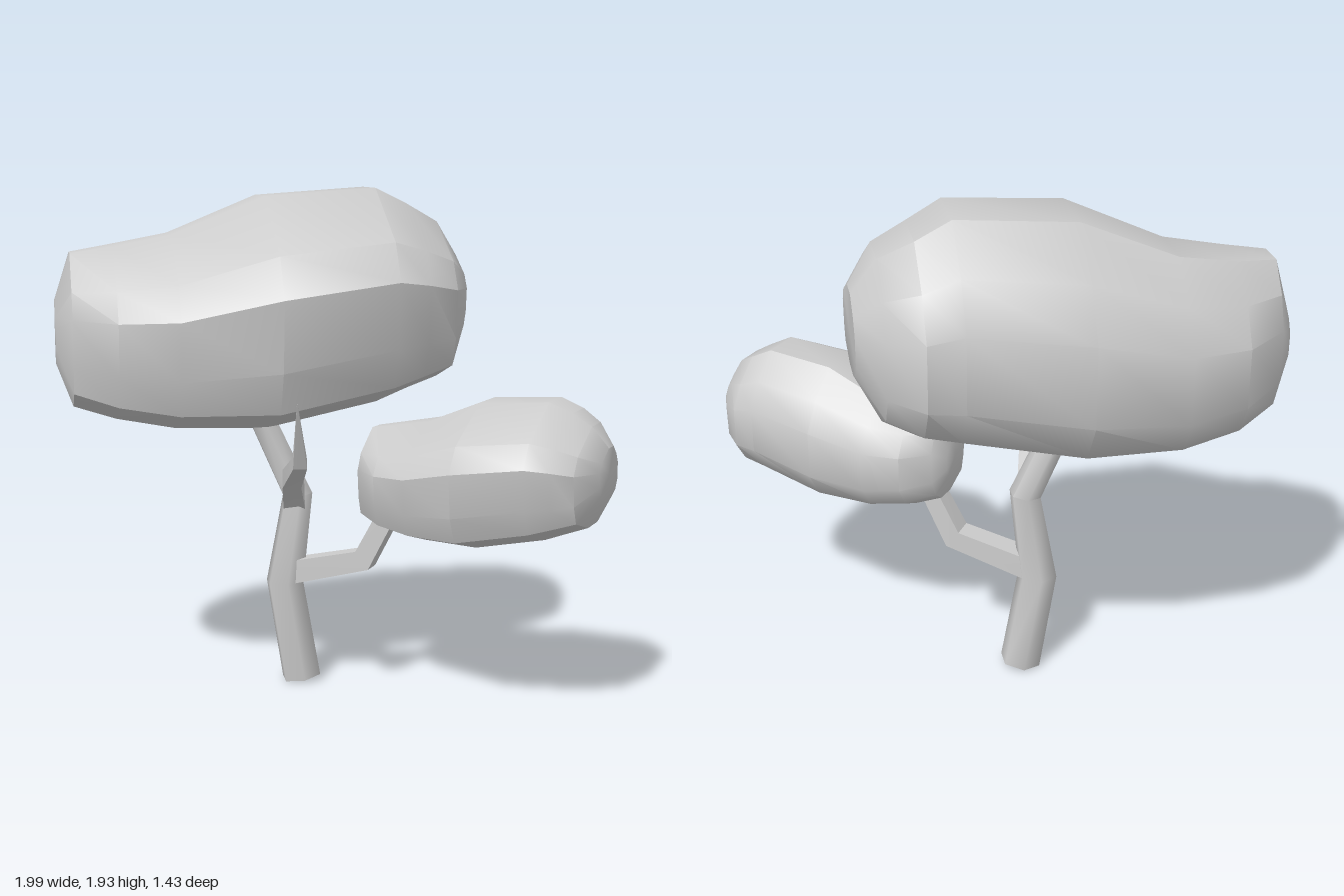
import * as THREE from 'three';
import { toCreasedNormals } from 'three/addons/utils/BufferGeometryUtils.js';

const grey = new THREE.MeshStandardMaterial({ color: 0xcccccc });

// Skin a series of equal-length rings and close both ends.
function loft(rings, crease) {
  const n = rings[0].length, last = rings.length - 1;
  const pos = [], index = [];
  const add = p => pos.push(p.x, p.y, p.z);
  const centre = ring => ring.reduce((s, p) => s.add(p), new THREE.Vector3()).divideScalar(n);
  rings.forEach(ring => ring.forEach(add));
  add(centre(rings[0]));
  add(centre(rings[last]));
  const c0 = n * rings.length, c1 = c0 + 1;
  for (let j = 0; j < n; j++) {
    const k = (j + 1) % n;
    for (let i = 0; i < last; i++) {
      const a = i * n + j, b = i * n + k;
      index.push(a, b, b + n, a, b + n, a + n);
    }
    index.push(c0, k, j, c1, last * n + j, last * n + k);
  }
  const g = new THREE.BufferGeometry();
  g.setAttribute('position', new THREE.Float32BufferAttribute(pos, 3));
  g.setIndex(index);
  return toCreasedNormals(g, crease);
}

// Tapered limb: each node is [x, y, z, radius].
function limb(name, nodes, sides, ref, crease) {
  const pts = nodes.map(n => new THREE.Vector3(n[0], n[1], n[2]));
  const rings = pts.map((p, i) => {
    const dir = (a, b) => pts[b].clone().sub(pts[a]).normalize();
    const t = new THREE.Vector3();
    if (i > 0) t.add(dir(i - 1, i));
    if (i < pts.length - 1) t.add(dir(i, i + 1));
    t.normalize();
    const u = t.clone().cross(ref).normalize(), w = t.clone().cross(u);
    return Array.from({ length: sides }, (_, j) => {
      const a = (j + 0.5) / sides * Math.PI * 2, r = nodes[i][3];
      return p.clone().addScaledVector(u, r * Math.cos(a)).addScaledVector(w, r * Math.sin(a));
    });
  });
  const m = new THREE.Mesh(loft(rings, crease), grey);
  m.name = name;
  return m;
}

// Foliage cross-section: [across -1..1, height 0..1], from the top round the front.
const SECTION = [
  [-0.45, 1], [0.05, 1], [0.8, 0.77], [1, 0.6], [0.94, 0.3], [0.8, 0.12],
  [0.1, 0], [-0.43, 0], [-0.8, 0.1], [-1, 0.28], [-1, 0.62], [-0.8, 0.82],
];
// Stations along the clump: [x, back z, front z, bottom y, top y].
const STATIONS = [
  [-0.99, -0.39, -0.15, 1.26, 1.50],
  [-0.93, -0.48, -0.02, 1.10, 1.68],
  [-0.77, -0.61, 0.11, 1.05, 1.705],
  [-0.55, -0.67, 0.18, 1.01, 1.745],
  [-0.20, -0.72, 0.33, 1.01, 1.89],
  [0.23, -0.68, 0.28, 1.10, 1.92],
  [0.36, -0.68, 0.21, 1.145, 1.86],
  [0.48, -0.58, 0.13, 1.19, 1.79],
  [0.57, -0.46, -0.08, 1.36, 1.66],
];
const PIVOT = new THREE.Vector3(-0.2, 1.01, -0.195);

function foliageGeometry() {
  const rings = STATIONS.map(([x, zb, zf, yb, yt]) => SECTION.map(([u, v]) =>
    new THREE.Vector3(x, yb + v * (yt - yb), (zb + zf) / 2 + u * (zf - zb) / 2).sub(PIVOT)));
  return loft(rings, 0.6);
}

export function createModel() {
  const model = new THREE.Group();
  model.name = 'tree';
  const up = new THREE.Vector3(0, 1, 0), front = new THREE.Vector3(0, 0, 1);

  // Crooked trunk
  model.add(limb('trunk', [
    [-0.06, 0, -0.18, 0.08], [-0.125, 0.39, -0.18, 0.077],
    [-0.075, 0.74, -0.175, 0.062], [-0.24, 1.1, -0.175, 0.052],
  ], 6, front, 1.1));

  // Side branches
  model.add(limb('lowerBranch', [
    [-0.12, 0.425, -0.19, 0.065], [0.165, 0.505, -0.025, 0.06], [0.26, 0.72, 0.04, 0.05],
  ], 4, up, 0.4));
  model.add(limb('frontBranch', [
    [-0.085, 0.71, -0.18, 0.06], [-0.13, 0.84, 0.03, 0.05],
    [-0.16, 0.97, 0.4, 0.035], [-0.19, 1.2, 0.53, 0.002],
  ], 4, up, 0.4));

  // Two foliage clumps of the same form
  const geometry = foliageGeometry();
  const large = new THREE.Mesh(geometry, grey);
  large.name = 'largeFoliage';
  large.position.copy(PIVOT);
  const small = new THREE.Mesh(geometry, grey);
  small.name = 'smallFoliage';
  small.position.set(0.525, 0.62, 0.31);
  small.rotation.y = THREE.MathUtils.degToRad(-36);
  small.scale.setScalar(0.61);
  model.add(large, small);
  return model;
}
